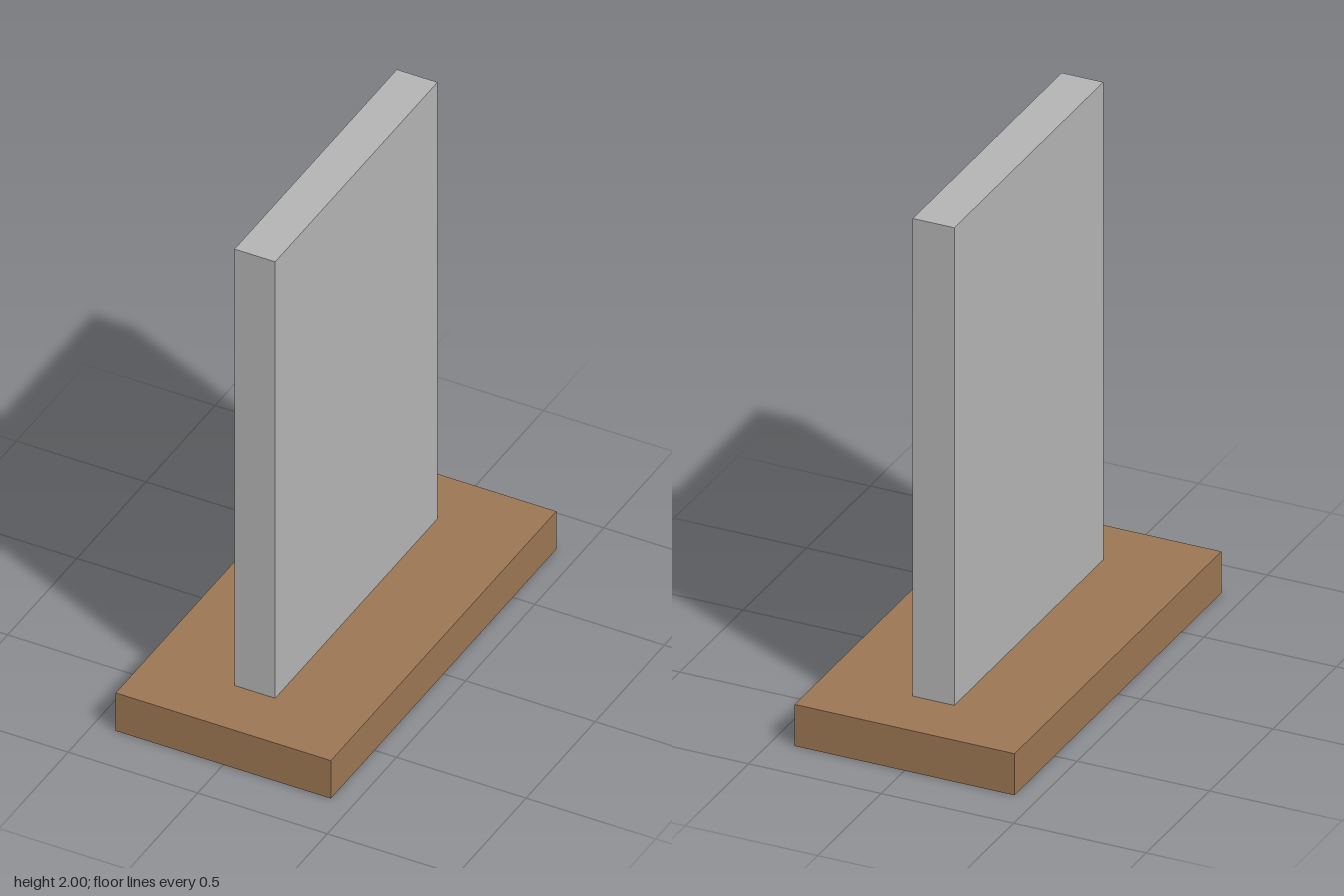
import * as THREE from 'three';

export function createModel() {
  const group = new THREE.Group();
  const wood = new THREE.MeshStandardMaterial({ name: 'brown wood', color: 0x9b7653 });
  const stone = new THREE.MeshStandardMaterial({ name: 'light grey', color: 0xb4b4b4 });

  // Box standing on the given height
  function block(name, width, height, depth, bottom, material) {
    const mesh = new THREE.Mesh(new THREE.BoxGeometry(width, height, depth), material);
    mesh.name = name;
    mesh.position.y = bottom + height / 2;
    group.add(mesh);
  }

  // Wide plinth with an upright slab centred on it
  block('base', 0.83, 0.16, 1.63, 0, wood);
  block('uprightPanel', 0.157, 1.84, 1.174, 0.16, stone);

  return group;
}
